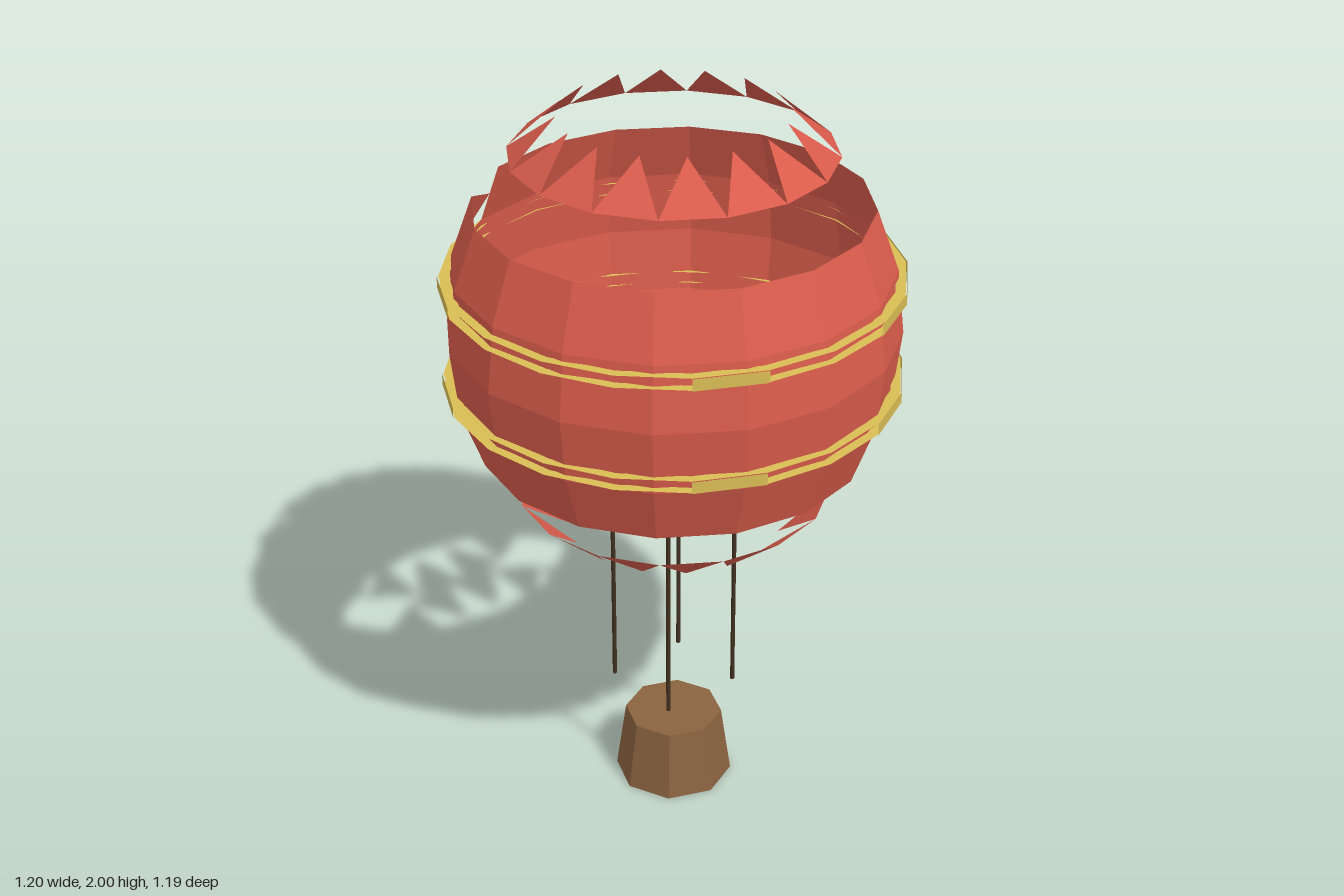
import * as THREE from 'three';

const CENTRE_Y = 1.417, RX = 0.59, RY = 0.67, GORES = 16, RING_SIDES = 20;

const paint = (color) => new THREE.MeshStandardMaterial({ color, flatShading: true, side: THREE.DoubleSide });

// Point at an angle around y, measured from +z towards +x
const polar = (r, y, a) => new THREE.Vector3(r * Math.sin(a), y, r * Math.cos(a));

// Point of the envelope at a latitude (degrees) and gore number
const onEnvelope = (lat, i) => {
  const t = THREE.MathUtils.degToRad(lat);
  return polar(RX * Math.cos(t), CENTRE_Y + RY * Math.sin(t), (i / GORES) * Math.PI * 2);
};

const quad = (a, b, c, d) => [a, b, c, a, c, d];

function meshFrom(points, material, name) {
  const geometry = new THREE.BufferGeometry().setFromPoints(points);
  geometry.computeVertexNormals();
  const mesh = new THREE.Mesh(geometry, material);
  mesh.name = name;
  return mesh;
}

// Open barrel of four rows; one upper panel is cut down to a triangle
function envelopeBand(material) {
  const points = [];
  for (let lat = -30; lat < 30; lat += 15) {
    for (let i = 0; i < GORES; i++) {
      const a = onEnvelope(lat, i), b = onEnvelope(lat, i + 1);
      const c = onEnvelope(lat + 15, i + 1), d = onEnvelope(lat + 15, i);
      if (lat === 15 && i === 9) points.push(a.clone().lerp(d, 0.5), b, c);
      else points.push(...quad(a, b, c, d));
    }
  }
  return meshFrom(points, material, 'envelopeBand');
}

// Crown of triangles pointing to the pole on the given side
function teeth(side, material, name) {
  const points = [];
  for (let i = 0; i < GORES; i++) {
    const a = onEnvelope(45 * side, i), b = onEnvelope(45 * side, i + 1);
    const tip = onEnvelope(60 * side, i).lerp(onEnvelope(60 * side, i + 1), 0.5);
    points.push(...(side > 0 ? [a, b, tip] : [b, a, tip]));
  }
  return meshFrom(points, material, name);
}

// Two flat hoops, joined by an outer wall on some segments
function trimRing(y, material, name) {
  const walled = [1, 2, 3, 4, 5, 6, 7, 8, 13, 18];
  const points = [], h = 0.016, inner = 0.57, outer = 0.596;
  for (let i = 0; i < RING_SIDES; i++) {
    const a = (i / RING_SIDES) * Math.PI * 2, b = ((i + 1) / RING_SIDES) * Math.PI * 2;
    points.push(...quad(polar(outer, y + h, a), polar(outer, y + h, b), polar(inner, y + h, b), polar(inner, y + h, a)));
    points.push(...quad(polar(inner, y - h, a), polar(inner, y - h, b), polar(outer, y - h, b), polar(outer, y - h, a)));
    if (walled.includes(i)) {
      const r = outer + 0.004;
      points.push(...quad(polar(r, y - h, a), polar(r, y - h, b), polar(r, y + h, b), polar(r, y + h, a)));
    }
  }
  return meshFrom(points, material, name);
}

export function createModel() {
  const model = new THREE.Group();
  model.name = 'hotAirBalloon';
  const red = paint(0xd95c4c), gold = paint(0xd9bd55), brown = paint(0x8b6340), dark = paint(0x40301f);

  model.add(envelopeBand(red), teeth(1, red, 'crownTeeth'), teeth(-1, red, 'mouthTeeth'));
  model.add(trimRing(CENTRE_Y + 0.139, gold, 'upperTrimRing'), trimRing(CENTRE_Y - 0.139, gold, 'lowerTrimRing'));

  // Ropes at the four corners
  for (const x of [-1, 1]) {
    for (const z of [-1, 1]) {
      const rope = new THREE.Mesh(new THREE.CylinderGeometry(0.006, 0.006, 0.6, 6), dark);
      rope.name = 'rope';
      rope.position.set(0.117 * x, 0.61, 0.117 * z);
      model.add(rope);
    }
  }

  // Eight-sided basket, wider at the foot
  const basket = new THREE.Mesh(new THREE.CylinderGeometry(0.135, 0.163, 0.198, 8), brown);
  basket.name = 'basket';
  basket.position.y = 0.099;
  model.add(basket);

  for (const part of model.children) part.position.x -= 0.004;
  return model;
}
